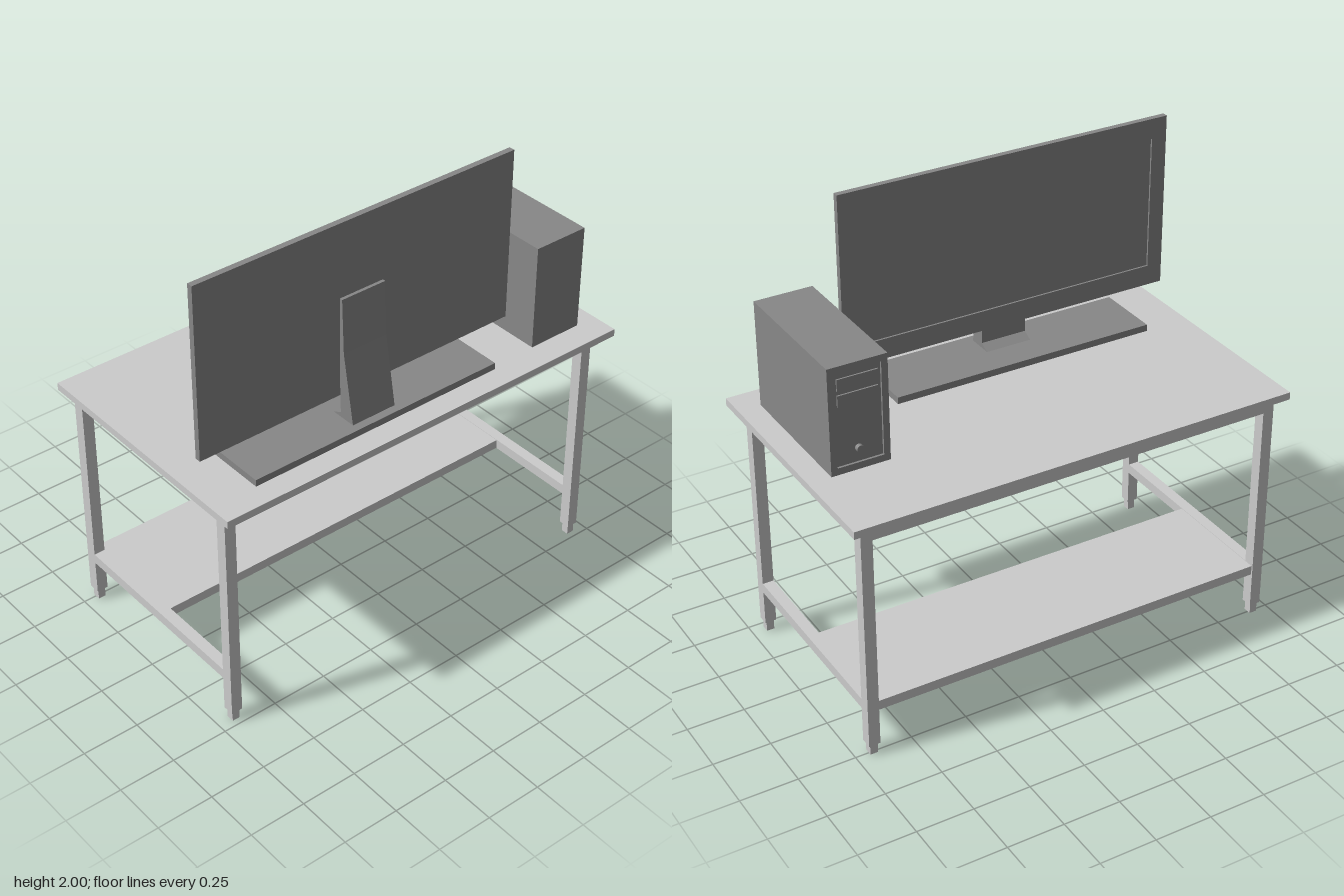
import * as THREE from 'three';

export function createModel() {
  const model = new THREE.Group();
  const pale = new THREE.MeshStandardMaterial({ color: 0xcccccc });
  const dark = new THREE.MeshStandardMaterial({ color: 0x888888 });

  const add = (parent, name, geometry, material) => {
    const mesh = new THREE.Mesh(geometry, material);
    mesh.name = name;
    parent.add(mesh);
    return mesh;
  };
  // box given by its limits on each axis
  const box = (parent, name, material, [x0, x1], [y0, y1], [z0, z1]) => {
    const mesh = add(parent, name, new THREE.BoxGeometry(x1 - x0, y1 - y0, z1 - z0), material);
    mesh.position.set((x0 + x1) / 2, (y0 + y1) / 2, (z0 + z1) / 2);
    return mesh;
  };
  const group = (name) => {
    const g = new THREE.Group();
    g.name = name;
    model.add(g);
    return g;
  };
  // rectangular rim facing -x, open in the middle
  const rim = (parent, name, [x0, x1], [y0, y1], [z0, z1], insetY, insetZ) => {
    const corners = (a, b, c, d) => [[a, c], [b, c], [b, d], [a, d]].map(([z, y]) => new THREE.Vector2(z, y));
    const shape = new THREE.Shape(corners(z0, z1, y0, y1));
    shape.holes.push(new THREE.Path(corners(z0 + insetZ, z1 - insetZ, y0 + insetY, y1 - insetY)));
    const g = new THREE.ExtrudeGeometry(shape, { depth: x1 - x0, bevelEnabled: false });
    g.rotateY(-Math.PI / 2);
    g.translate(x1, 0, 0);
    add(parent, name, g, dark);
  };

  // Table: top, legs with feet, aprons, end rails and half-depth shelf
  const table = group('table');
  box(table, 'tableTop', pale, [-0.565, 0.565], [1.07, 1.103], [-0.995, 0.995]);
  for (const [x0, x1] of [[-0.522, -0.47], [0.43, 0.48]]) {
    for (const s of [-1, 1]) {
      const z = s * 0.924;
      box(table, 'leg', pale, [x0, x1], [0.048, 1.07], [z - 0.025, z + 0.025]);
      box(table, 'foot', pale, [x0 + 0.008, x1 - 0.008], [0, 0.048], [z - 0.017, z + 0.017]);
    }
    box(table, 'sideApron', pale, [x0, x1], [1.01, 1.07], [-0.899, 0.899]);
  }
  for (const s of [-1, 1]) {
    const z = s * 0.924;
    box(table, 'endApron', pale, [-0.47, 0.43], [1.01, 1.07], [z - 0.025, z + 0.025]);
    box(table, 'endRail', pale, [-0.47, 0.43], [0.207, 0.252], [z - 0.025, z + 0.025]);
  }
  box(table, 'shelf', pale, [-0.515, 0.005], [0.207, 0.25], [-0.899, 0.899]);

  // Monitor: panel with a raised bezel on the screen side (-x)
  const monitor = group('monitor');
  box(monitor, 'screenPanel', dark, [0.33, 0.348], [1.232, 2], [-0.576, 0.955]);
  rim(monitor, 'screenBezel', [0.322, 0.33], [1.232, 2], [-0.576, 0.955], 0.09, 0.07);
  box(monitor, 'standBase', dark, [0.168, 0.464], [1.103, 1.133], [-0.418, 0.787]);

  // Bent stand neck, a side profile extruded along z
  const neck = new THREE.Shape([
    [0.348, 1.675], [0.348, 1.28], [0.352, 1.26], [0.354, 1.155], [0.31, 1.133],
    [0.428, 1.133], [0.372, 1.437], [0.362, 1.675],
  ].map(([x, y]) => new THREE.Vector2(x, y)));
  const neckGeometry = new THREE.ExtrudeGeometry(neck, { depth: 0.21, bevelEnabled: false });
  neckGeometry.translate(0, 0, 0.08);
  add(monitor, 'standNeck', neckGeometry, dark);

  // Computer case: recessed front, drive bays and a round button
  const computer = group('computer');
  box(computer, 'caseBody', dark, [-0.177, 0.446], [1.103, 1.573], [-0.896, -0.64]);
  rim(computer, 'caseFrontRim', [-0.187, -0.177], [1.103, 1.573], [-0.896, -0.64], 0.03, 0.028);
  for (const y of [1.42, 1.49]) {
    box(computer, 'driveBay', dark, [-0.184, -0.177], [y - 0.025, y + 0.025], [-0.855, -0.68]);
  }
  const button = add(computer, 'powerButton', new THREE.CylinderGeometry(0.016, 0.016, 0.02, 16), dark);
  button.rotation.z = Math.PI / 2;
  button.position.set(-0.186, 1.194, -0.771);

  return model;
}
